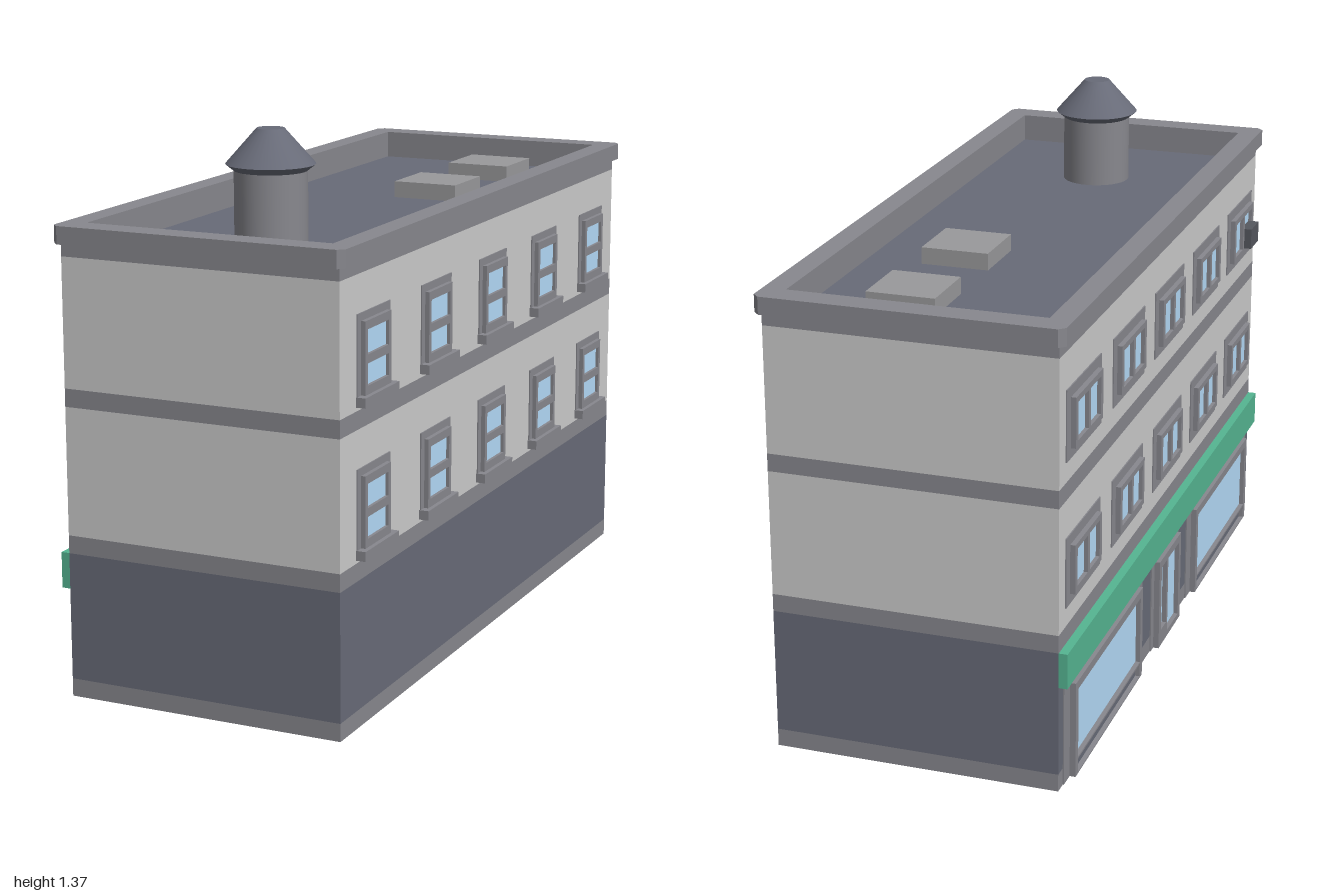
import * as THREE from 'three';

const mat = (color) => new THREE.MeshStandardMaterial({ color });
const M = {
  wall: mat(0xcccccc), trim: mat(0x88888e), dark: mat(0x686b78),
  glass: mat(0xb4daf8), awning: mat(0x55b592), vent: mat(0x55585f), skylight: mat(0x99999b),
};
const B = 0.3626, A = 0.9146; // half width and half length of the body

function add(parent, name, geo, material, x = 0, y = 0, z = 0) {
  const m = new THREE.Mesh(geo, material);
  m.name = name;
  m.position.set(x, y, z);
  parent.add(m);
  return m;
}

// Box given by its bottom and back: spans y0..y1 and z0..z1, centred on x
function block(parent, name, material, x, w, y0, y1, z0, z1) {
  return add(parent, name, new THREE.BoxGeometry(w, y1 - y0, z1 - z0), material, x, (y0 + y1) / 2, (z0 + z1) / 2);
}

// Rectangle path, with optional chamfered corners
function rect(Type, x0, x1, y0, y1, c = 0) {
  const p = c
    ? [[x0 + c, y0], [x1 - c, y0], [x1, y0 + c], [x1, y1 - c], [x1 - c, y1], [x0 + c, y1], [x0, y1 - c], [x0, y0 + c]]
    : [[x0, y0], [x1, y0], [x1, y1], [x0, y1]];
  return new Type(p.map(([x, y]) => new THREE.Vector2(x, y)));
}

// Horizontal ring with a rectangular opening
function ring(parent, name, material, b, a, bi, ai, y0, y1, c) {
  const s = rect(THREE.Shape, -b, b, -a, a, c);
  s.holes.push(rect(THREE.Path, -bi, bi, -ai, ai));
  const g = new THREE.ExtrudeGeometry(s, { depth: y1 - y0, bevelEnabled: false });
  g.rotateX(-Math.PI / 2);
  return add(parent, name, g, material, 0, y0, 0);
}

// Raised frame with openings; each pane is [x0, x1, y0, y1, material]
function framed(parent, name, x, halfW, y0, y1, depth, panes) {
  const g = new THREE.Group();
  g.name = name;
  g.position.x = x;
  parent.add(g);
  const s = rect(THREE.Shape, -halfW, halfW, y0, y1);
  panes.forEach((p) => s.holes.push(rect(THREE.Path, p[0], p[1], p[2], p[3])));
  add(g, 'frame', new THREE.ExtrudeGeometry(s, { depth, bevelEnabled: false }), M.trim);
  for (const [x0, x1, p0, p1, m] of panes) {
    block(g, m === M.glass ? 'pane' : 'panel', m, (x0 + x1) / 2, x1 - x0, p0, p1, 0, 0.006);
  }
  return g;
}

// Group whose local +z points out of a side wall
function facade(parent, name, side) {
  const g = new THREE.Group();
  g.name = name;
  g.position.x = side * B;
  g.rotation.y = side * Math.PI / 2;
  parent.add(g);
  return g;
}

export function createModel() {
  const root = new THREE.Group();
  root.name = 'building';
  const b = new THREE.Group();
  b.name = 'turnedBuilding';
  b.rotation.y = Math.PI / 8;
  root.add(b);

  // Body in flush horizontal bands
  const bands = [
    ['baseBand', M.trim, 0, 0.045], ['groundFloor', M.dark, 0.045, 0.365],
    ['lowerBand', M.trim, 0.365, 0.41], ['middleFloor', M.wall, 0.41, 0.73],
    ['middleBand', M.trim, 0.73, 0.775], ['topFloor', M.wall, 0.775, 1.095],
  ];
  for (const [name, m, y0, y1] of bands) block(b, name, m, 0, 2 * B, y0, y1, -A, A);

  // Parapet, cornice and roof deck
  ring(b, 'parapet', M.trim, B, A, 0.322, 0.862, 1.095, 1.126, 0);
  ring(b, 'cornice', M.trim, B + 0.017, A + 0.017, 0.322, 0.862, 1.126, 1.17, 0.016);
  block(b, 'roofDeck', M.dark, 0, 0.644, 1.094, 1.097, -0.862, 0.862);

  // Skylights
  for (const z of [-0.645, -0.276]) block(b, 'skylight', M.skylight, 0.09, 0.175, 1.097, 1.14, z - 0.0875, z + 0.0875);

  // Roof tank with conical lid
  const tank = new THREE.Group();
  tank.name = 'waterTank';
  tank.position.set(0.003, 0, 0.542);
  b.add(tank);
  add(tank, 'tankBody', new THREE.CylinderGeometry(0.09, 0.09, 0.18, 32), M.trim, 0, 1.185, 0);
  add(tank, 'tankEaves', new THREE.CylinderGeometry(0.11, 0.09, 0.016, 32), M.dark, 0, 1.28, 0);
  add(tank, 'tankLid', new THREE.CylinderGeometry(0.034, 0.11, 0.086, 32), M.dark, 0, 1.331, 0);

  // Windows on both long sides
  const shop = facade(b, 'shopSide', -1);
  const rear = facade(b, 'windowSide', 1);
  for (const dy of [0, -0.367]) {
    for (let i = -2; i <= 2; i++) {
      const x = i * 0.367;
      // Wide sliding windows above the shop
      block(shop, 'windowSurround', M.trim, x, 0.267, 0.826 + dy, 1.003 + dy, 0, 0.003);
      framed(shop, 'slidingWindow', x, 0.105, 0.852 + dy, 0.977 + dy, 0.016, [
        [-0.088, -0.008, 0.867 + dy, 0.962 + dy, M.glass], [0.008, 0.088, 0.867 + dy, 0.962 + dy, M.glass],
      ]);
      // Tall sash windows with sills
      block(rear, 'windowSurround', M.trim, x, 0.183, 0.8 + dy, 1.003 + dy, 0, 0.003);
      framed(rear, 'sashWindow', x, 0.072, 0.805 + dy, 0.984 + dy, 0.014, [
        [-0.058, 0.058, 0.83 + dy, 0.883 + dy, M.glass], [-0.058, 0.058, 0.904 + dy, 0.963 + dy, M.glass],
      ]);
      block(rear, 'windowSill', M.trim, x, 0.19, 0.785 + dy, 0.809 + dy, 0, 0.025);
    }
  }
  block(shop, 'airConditioner', M.vent, 0.782, 0.085, 0.867, 0.924, 0, 0.036);

  // Shopfront: two display windows, a door and the awning
  for (const x of [-0.55, 0.55]) {
    block(shop, 'shopSurround', M.trim, x, 0.66, 0, 0.275, 0, 0.003);
    framed(shop, 'displayWindow', x, 0.285, 0, 0.25, 0.018, [
      [-0.265, 0.265, 0.045, 0.228, M.glass], [-0.265, 0.265, 0.004, 0.04, M.dark],
    ]);
  }
  block(shop, 'doorSurround', M.trim, 0, 0.26, 0, 0.275, 0, 0.003);
  framed(shop, 'door', 0, 0.105, 0, 0.25, 0.018, [
    [-0.085, -0.035, 0.045, 0.228, M.glass], [-0.022, 0.085, 0.016, 0.228, M.glass],
  ]);
  block(shop, 'awning', M.awning, 0, 2 * A, 0.275, 0.365, 0, 0.022);

  return root;
}
